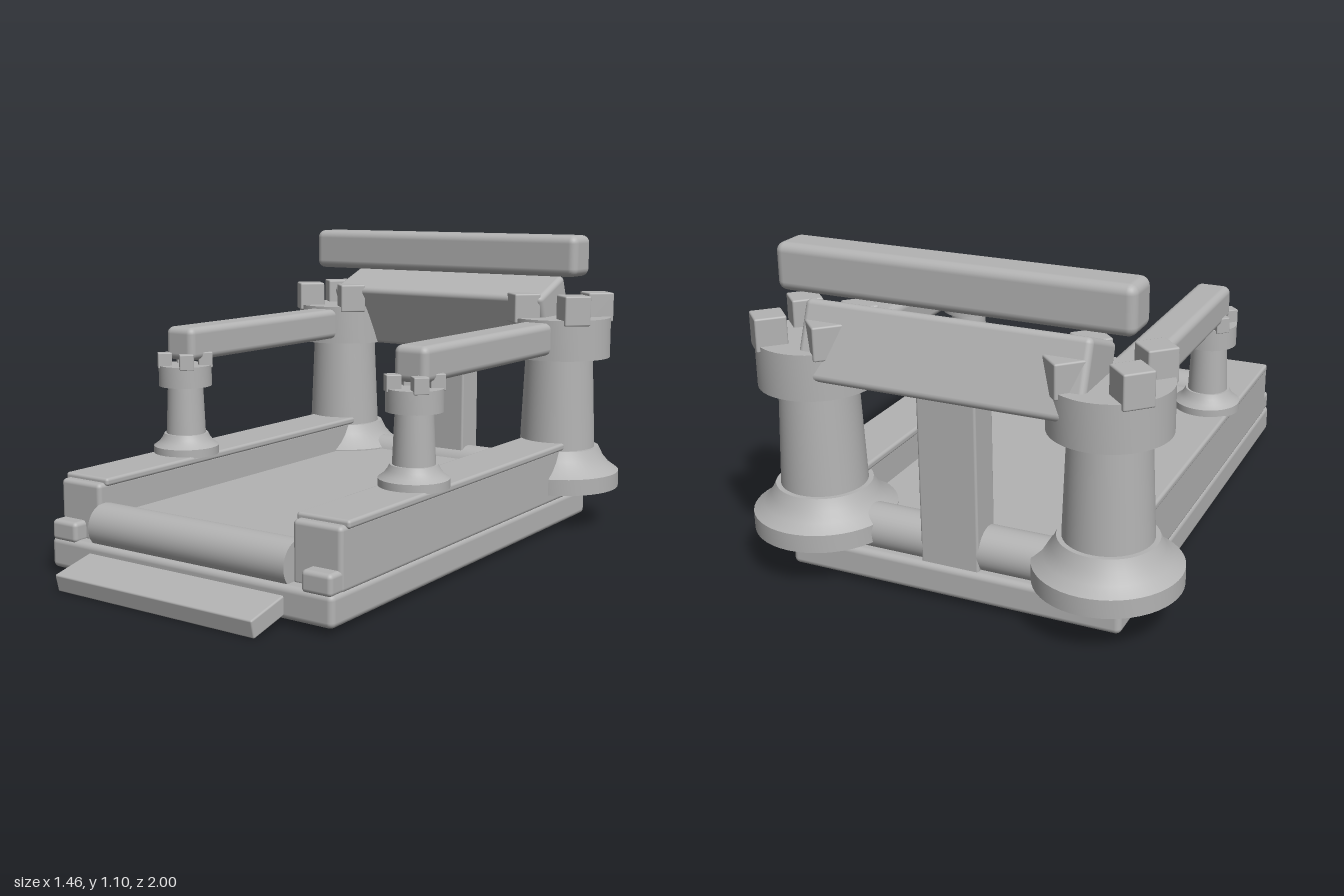
import * as THREE from 'three';
import { toCreasedNormals } from 'three/addons/utils/BufferGeometryUtils.js';
import { RoundedBoxGeometry } from 'three/addons/geometries/RoundedBoxGeometry.js';

const grey = new THREE.MeshStandardMaterial({ color: 0xb3b3b3 });
grey.name = 'plain grey';

function add(parent, name, geometry, x, y, z) {
  const mesh = new THREE.Mesh(geometry, grey);
  mesh.name = name;
  mesh.position.set(x, y, z);
  parent.add(mesh);
  return mesh;
}

// Rounded box given by its low and high limits on each axis
function block(parent, name, [x0, x1], [y0, y1], [z0, z1], r = 0.015) {
  const geometry = new RoundedBoxGeometry(x1 - x0, y1 - y0, z1 - z0, 3, r);
  return add(parent, name, geometry, (x0 + x1) / 2, (y0 + y1) / 2, (z0 + z1) / 2);
}

// Castle tower: turned body with four merlons set on the diagonals
function tower(name) {
  const group = new THREE.Group();
  group.name = name;
  const profile = [
    [0, 0], [0.235, 0], [0.235, 0.06], [0.2, 0.085], [0.175, 0.115], [0.158, 0.15],
    [0.142, 0.15], [0.127, 0.495], [0.19, 0.495], [0.19, 0.645], [0, 0.645],
  ].map(([r, y]) => new THREE.Vector2(r, y));
  add(group, 'towerBody', toCreasedNormals(new THREE.LatheGeometry(profile, 48), 0.6), 0, 0, 0);
  for (let i = 0; i < 4; i++) {
    const a = Math.PI / 4 + i * Math.PI / 2;
    const merlon = add(group, 'merlon', new RoundedBoxGeometry(0.1, 0.11, 0.1, 2, 0.006),
      Math.sin(a) * 0.145, 0.68, Math.cos(a) * 0.145);
    merlon.rotation.y = a;
  }
  return group;
}

export function createModel() {
  const model = new THREE.Group();
  model.name = 'treadmill';

  // Deck, running belt and entry ramp
  block(model, 'base', [-0.575, 0.575], [0.025, 0.13], [-0.865, 0.85], 0.02);
  block(model, 'belt', [-0.4, 0.4], [0.11, 0.21], [-0.78, 0.78], 0.005);
  const ramp = add(model, 'ramp', new RoundedBoxGeometry(0.8, 0.06, 0.22, 2, 0.006), 0, 0.06, 0.888);
  ramp.rotation.x = 0.23;

  // Rollers at both ends of the belt
  for (const z of [0.775, -0.775]) {
    const roller = add(model, 'roller', new THREE.CylinderGeometry(0.075, 0.075, 0.8, 40), 0, 0.18, z);
    roller.rotation.z = Math.PI / 2;
  }

  // Side rails, towers and handrails, mirrored left and right
  for (const s of [1, -1]) {
    const span = (a, b) => (s > 0 ? [a, b] : [-b, -a]);
    block(model, 'sideRail', span(0.395, 0.572), [0.12, 0.32], [-0.8, 0.8]);
    block(model, 'railCap', span(0.388, 0.58), [0.308, 0.335], [-0.77, 0.77], 0.01);
    block(model, 'frontEndBlock', span(0.46, 0.57), [0.12, 0.19], [0.77, 0.85]);
    block(model, 'rearEndBlock', span(0.46, 0.57), [0.12, 0.19], [-0.86, -0.77]);

    const large = tower('rearTower');
    large.position.set(s * 0.497, 0.155, -0.765);
    const small = tower('frontTower');
    small.scale.setScalar(0.5);
    small.position.set(s * 0.485, 0.33, 0.265);
    model.add(large, small);

    block(model, 'handrail', span(0.422, 0.548), [0.67, 0.79], [-0.7, 0.3], 0.025);
  }

  // Centre post, tilted console and top bar
  block(model, 'centrePost', [-0.1, 0.1], [0.12, 0.74], [-0.85, -0.73], 0.008);
  const console_ = add(model, 'console', new RoundedBoxGeometry(0.945, 0.25, 0.215, 3, 0.02), 0, 0.797, -0.792);
  console_.rotation.x = 0.37;
  block(model, 'topBar', [-0.59, 0.59], [0.953, 1.107], [-0.828, -0.688], 0.03);

  return model;
}
